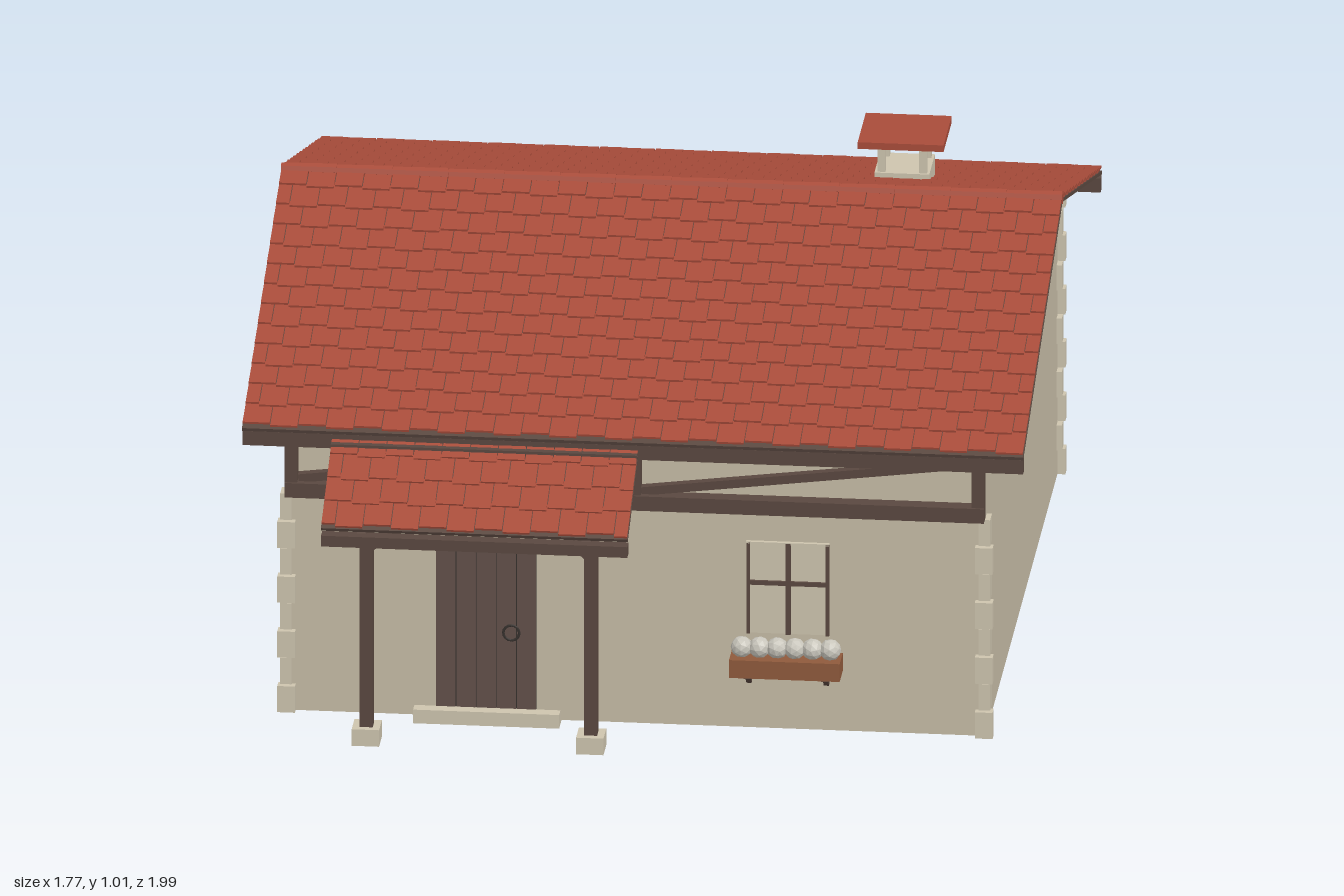
import * as THREE from 'three';
import { mergeGeometries } from 'three/addons/utils/BufferGeometryUtils.js';

const mat = (name, color) => {
  const m = new THREE.MeshStandardMaterial({ color, flatShading: true });
  m.name = name;
  return m;
};
const M = {
  tile: mat('roofTile', 0xa84c3a),
  wood: mat('darkTimber', 0x5a4840),
  door: mat('doorWood', 0x62504a),
  wall: mat('plaster', 0xc6bca6),
  stone: mat('stone', 0xcdc4ae),
  planter: mat('planterWood', 0x8f5a3c),
  flower: mat('flowers', 0xc9c6bc),
  iron: mat('iron', 0x35302d),
};

export function createModel() {
  const root = new THREE.Group();
  root.name = 'cottage';

  const add = (name, geo, m, parent = root) => {
    const mesh = new THREE.Mesh(geo, m);
    mesh.name = name;
    parent.add(mesh);
    return mesh;
  };
  // box given by its min/max on each axis
  const box = (name, x0, x1, y0, y1, z0, z1, m, parent) => {
    const mesh = add(name, new THREE.BoxGeometry(x1 - x0, y1 - y0, z1 - z0), m, parent);
    mesh.position.set((x0 + x1) / 2, (y0 + y1) / 2, (z0 + z1) / 2);
    return mesh;
  };
  // square timber between two points
  const beam = (name, a, b, w, h, m = M.wood) => {
    const p = new THREE.Vector3(...a), q = new THREE.Vector3(...b);
    const mesh = new THREE.Mesh(new THREE.BoxGeometry(w, h, p.distanceTo(q)), m);
    mesh.name = name;
    mesh.position.copy(p).add(q).multiplyScalar(0.5);
    mesh.lookAt(q);
    root.add(mesh);
  };

  // House body with gables
  const ZC = -0.11, HX = 0.79;
  const profile = new THREE.Shape([
    [-0.91, 0.01], [0.695, 0.01], [0.695, 0.727], [ZC, 0.982], [-0.91, 0.727],
  ].map(([z, y]) => new THREE.Vector2(z, y)));
  const body = new THREE.ExtrudeGeometry(profile, { depth: HX * 2, bevelEnabled: false });
  body.rotateY(-Math.PI / 2).translate(HX, 0, 0);
  add('walls', body, M.wall);
  box('foundation', -0.76, 0.76, 0, 0.012, -0.87, 0.66, M.stone);

  // Corner stones, alternating long and short
  for (const sx of [-1, 1]) for (const [zc, sz, top] of [[0.695, 1, 0.53], [-0.91, -1, 0.71]]) {
    const n = Math.round(top / 0.066), h = top / n;
    for (let i = 0; i < n; i++) {
      const long = i % 2 === 0;
      const lx = long ? 0.04 : 0.026, lz = long ? 0.026 : 0.04, out = long ? 0.018 : 0.012;
      const s = box('cornerStone', 0, lx, i * h + 0.01, (i + 1) * h + 0.007, 0, lz, M.stone);
      s.position.x = sx * (HX + out - lx / 2);
      s.position.z = zc + sz * (out - lz / 2);
    }
  }

  // Tiled slope: local origin at the top edge, +z runs down the slope
  const tiledSlope = (name, width, length, rows, lift) => {
    const g = new THREE.Group();
    g.name = name;
    box('roofBoards', -width / 2, width / 2, -0.008, 0, 0, length, M.wood, g);
    const parts = [], step = length / rows;
    const cols = Math.round(width / 0.0625), w = width / cols;
    for (let r = 0; r < rows; r++) for (let c = 0; c <= cols; c++) {
      const shift = r % 2 ? 0.5 : 0;
      const x0 = Math.max(0, (c - shift) * w), x1 = Math.min(width, (c + 1 - shift) * w);
      if (x1 - x0 < 0.01) continue;
      const len = Math.min(step * 1.2, (r + 1) * step);
      const t = new THREE.BoxGeometry(x1 - x0 - 0.002, 0.005, len);
      t.rotateX(-lift / step);
      const slide = c % 2 ? 0 : -0.008;
      t.translate((x0 + x1) / 2 - width / 2, 0.0025 + lift * 0.55, (r + 1) * step - len / 2 + slide);
      parts.push(t);
    }
    add('tiles', mergeGeometries(parts), M.tile, g);
    return g;
  };

  // Main roof: two mirrored slopes
  const RIDGE = 0.995, RUN = 0.875, DROP = 0.28;
  for (const s of [1, -1]) {
    const side = new THREE.Group();
    side.name = s > 0 ? 'frontRoof' : 'backRoof';
    side.position.set(0, RIDGE, ZC);
    if (s < 0) side.rotation.y = Math.PI;
    const slope = tiledSlope('roofSlope', 1.765, Math.hypot(RUN, DROP), 13, 0.006);
    slope.rotation.x = Math.atan2(DROP, RUN);
    side.add(slope);
    box('eaveBoard', -0.882, 0.882, -0.322, -0.288, RUN - 0.028, RUN - 0.003, M.wood, side);
    root.add(side);
    // rafter tails under the eave
    for (let i = 0; i < 9; i++) {
      const x = -0.78 + i * 0.195;
      beam('rafterTail', [x, 0.731, ZC + s * 0.79], [x, 0.701, ZC + s * 0.865], 0.02, 0.02);
    }
  }
  // Ridge caps
  for (let i = 0; i < 14; i++) {
    const cap = add('ridgeCap', new THREE.CylinderGeometry(0.014, 0.016, 0.126, 8), M.tile);
    cap.rotation.z = Math.PI / 2;
    cap.position.set(-0.8195 + i * 0.1261, RIDGE + 0.002, ZC);
  }

  // Gable timbers on both ends
  for (const s of [-1, 1]) {
    const x = s * 0.795;
    box('gableTieBeam', x - 0.015, x + 0.015, 0.718, 0.742, -0.905, 0.69, M.wood);
    box('gableKingPost', x - 0.012, x + 0.012, 0.742, 0.965, ZC - 0.013, ZC + 0.013, M.wood);
    for (const d of [-1, 1])
      beam('gableRafter', [x, 0.968, ZC], [x, 0.718, ZC + d * 0.785], 0.03, 0.028);
  }

  // Timber frame along the top of the front wall
  box('frontLowerBeam', -0.79, 0.79, 0.537, 0.572, 0.69, 0.73, M.wood);
  box('frontTopBeam', -0.79, 0.79, 0.67, 0.7, 0.69, 0.72, M.wood);
  for (const x of [-0.776, 0, 0.776])
    box('frontStud', x - 0.014, x + 0.014, 0.572, 0.672, 0.69, 0.725, M.wood);
  for (const x of [-0.76, 0.015])
    beam('frontBrace', [x, 0.578, 0.7], [x + 0.74, 0.672, 0.7], 0.03, 0.02);

  // Door with planks, lintel, step and ring handle
  for (let i = 0; i < 5; i++) {
    const x = -0.45 + i * 0.0455;
    box('doorPlank', x, x + 0.0435, 0.035, 0.42, 0.69, 0.701, M.door);
  }
  box('doorBacking', -0.45, -0.224, 0.035, 0.42, 0.685, 0.698, M.iron);
  box('doorHead', -0.452, -0.222, 0.42, 0.446, 0.68, 0.704, M.stone);
  box('doorLintel', -0.505, -0.165, 0.446, 0.49, 0.68, 0.699, M.wall);
  box('doorStep', -0.5, -0.17, 0, 0.033, 0.66, 0.724, M.stone);
  const ring = add('doorRing', new THREE.TorusGeometry(0.018, 0.003, 6, 16), M.iron);
  ring.position.set(-0.28, 0.22, 0.705);

  // Window
  box('windowPane', 0.252, 0.437, 0.24, 0.46, 0.69, 0.698, M.stone);
  for (const x of [0.255, 0.345, 0.434]) {
    const h = x === 0.345 ? 0.006 : 0.004;
    box('windowUpright', x - h, x + h, 0.24, 0.46, 0.69, 0.704, M.wood);
  }
  box('windowCrossbar', 0.255, 0.434, 0.358, 0.368, 0.69, 0.704, M.wood);
  box('windowHead', 0.25, 0.438, 0.456, 0.462, 0.69, 0.704, M.stone);

  // Flower box on brackets
  box('flowerBox', 0.22, 0.47, 0.163, 0.206, 0.715, 0.785, M.planter);
  for (const x of [0.257, 0.432]) {
    box('flowerBoxBracket', x - 0.008, x + 0.008, 0.148, 0.163, 0.69, 0.75, M.wood);
    beam('bracketStrut', [x, 0.125, 0.7], [x, 0.155, 0.735], 0.012, 0.012);
  }
  for (let i = 0; i < 6; i++) {
    const f = add('flower', new THREE.IcosahedronGeometry(0.025, 1), M.flower);
    f.position.set(0.245 + i * 0.04, 0.225, 0.748);
    f.rotation.set(i, i * 2, 0);
  }

  // Porch posts, footings and braces
  const PX = [-0.59, -0.083], PZ = 0.868;
  PX.forEach((x, i) => {
    const s = i ? -1 : 1;
    box('porchFooting', x - 0.031, x + 0.031, 0.01, 0.05, PZ - 0.031, PZ + 0.031, M.stone);
    box('porchPost', x - 0.015, x + 0.015, 0.05, 0.56, PZ - 0.015, PZ + 0.015, M.wood);
    beam('porchBrace', [x, 0.472, PZ], [x + s * 0.07, 0.54, PZ], 0.018, 0.018);
    beam('porchWallBrace', [x, 0.54, PZ], [x, 0.46, 0.7], 0.02, 0.02);
    beam('porchRafter', [x, 0.6, 0.865], [x, 0.54, 0.985], 0.022, 0.022);
  });
  box('porchBeam', -0.66, -0.01, 0.535, 0.562, PZ - 0.014, PZ + 0.014, M.wood);
  box('porchEaveBoard', -0.68, 0.012, 0.53, 0.556, 0.97, 1.0, M.wood);
  box('porchLedger', -0.68, 0.012, 0.672, 0.692, 0.72, 0.785, M.wood);

  // Porch roof
  const porch = tiledSlope('porchRoof', 0.693, Math.hypot(0.255, 0.125), 4, 0.004);
  porch.position.set(-0.334, 0.698, 0.742);
  porch.rotation.x = Math.atan2(0.125, 0.255);
  root.add(porch);

  // Chimney with four pillars under a tiled cap
  const CX = 0.49, CZ = -0.46;
  box('chimneyBase', CX - 0.062, CX + 0.062, 0.8, 0.925, CZ - 0.062, CZ + 0.062, M.stone);
  for (const sx of [-1, 1]) for (const sz of [-1, 1]) {
    const p = box('chimneyPillar', -0.009, 0.009, 0.925, 0.993, -0.009, 0.009, M.stone);
    p.position.x = CX + sx * 0.047;
    p.position.z = CZ + sz * 0.047;
  }
  box('chimneyCap', CX - 0.097, CX + 0.097, 0.992, 1.008, CZ - 0.09, CZ + 0.09, M.tile);

  return root;
}
